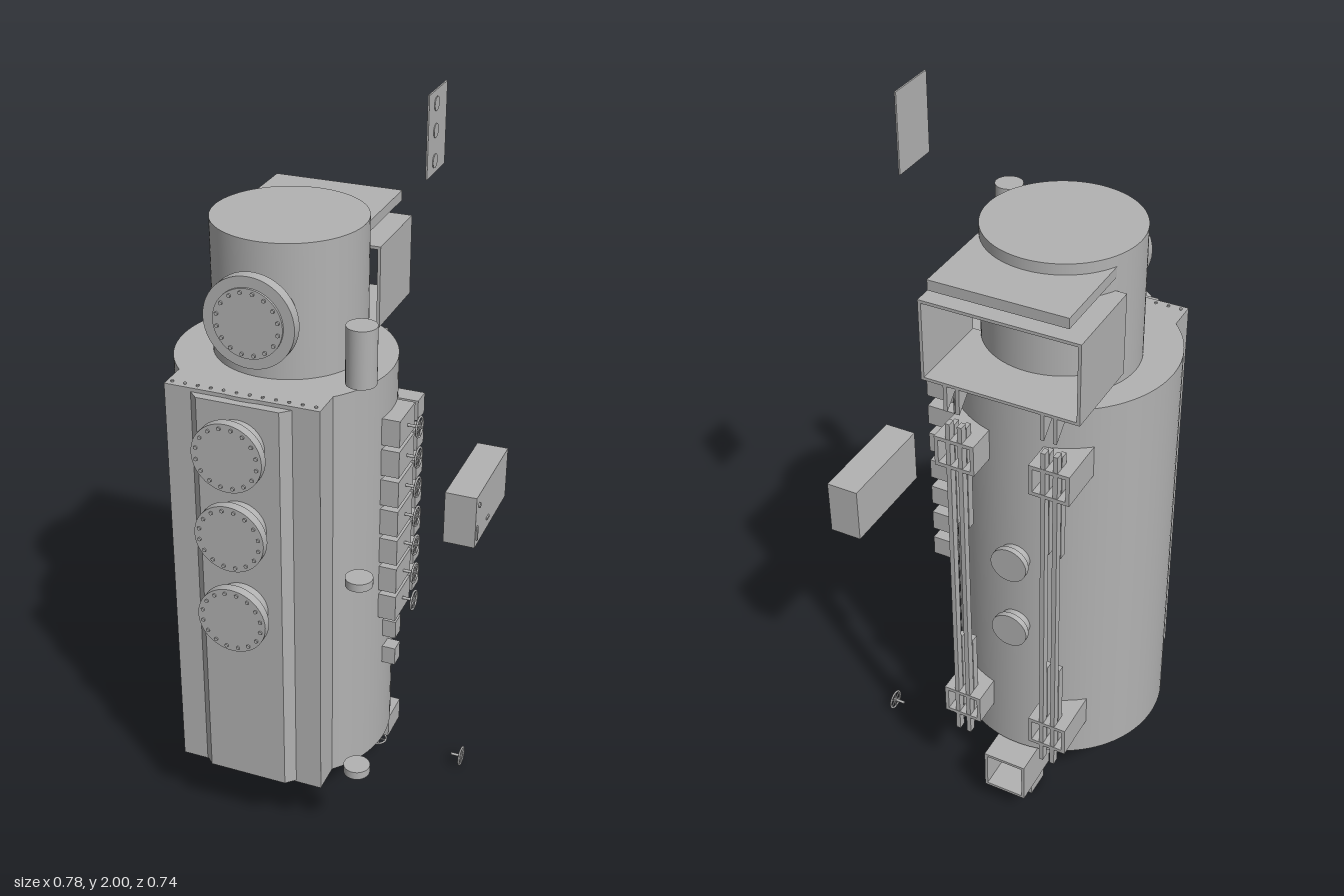
import * as THREE from 'three';

const grey = new THREE.MeshStandardMaterial({ color: 0xb2b2b2 });
grey.name = 'plainGrey';
const CX = -0.108; // centre line of the vessel

function add(parent, name, geometry, x = 0, y = 0, z = 0) {
  const m = new THREE.Mesh(geometry, grey);
  m.name = name;
  m.position.set(x, y, z);
  parent.add(m);
  return m;
}

function group(parent, name, x = 0, y = 0, z = 0) {
  const g = new THREE.Group();
  g.name = name;
  g.position.set(x, y, z);
  parent.add(g);
  return g;
}

// box given by its limits on each axis
function block(parent, name, x0, x1, y0, y1, z0, z1) {
  return add(parent, name, new THREE.BoxGeometry(x1 - x0, y1 - y0, z1 - z0),
    (x0 + x1) / 2, (y0 + y1) / 2, (z0 + z1) / 2);
}

// upright cylinder from y0 to y1
function drum(parent, name, r, y0, y1, x, z, sides = 64) {
  return add(parent, name, new THREE.CylinderGeometry(r, r, y1 - y0, sides), x, (y0 + y1) / 2, z);
}

// cylinder along z from z0 to z1
function discZ(parent, name, r, z0, z1, x, y, sides = 48) {
  const m = add(parent, name, new THREE.CylinderGeometry(r, r, z1 - z0, sides), x, y, (z0 + z1) / 2);
  m.rotation.x = Math.PI / 2;
  return m;
}

// cylinder along x from x0 to x1
function discX(parent, name, r, x0, x1, y, z, sides = 24) {
  const m = add(parent, name, new THREE.CylinderGeometry(r, r, x1 - x0, sides), (x0 + x1) / 2, y, z);
  m.rotation.z = Math.PI / 2;
  return m;
}

// ring of bolts on a face looking to +z
function boltRing(parent, x, y, z0, z1, radius, count) {
  for (let i = 0; i < count; i++) {
    const a = (i + 0.5) / count * Math.PI * 2;
    discZ(parent, 'bolt', 0.005, z0, z1, x + radius * Math.cos(a), y + radius * Math.sin(a), 6);
  }
}

// box of thin plates, open to the back
function openBox(parent, name, x0, x1, y0, y1, z0, z1, t) {
  const g = group(parent, name);
  block(g, 'sidePlate', x0, x0 + t, y0, y1, z0, z1);
  block(g, 'sidePlate', x1 - t, x1, y0, y1, z0, z1);
  block(g, 'topPlate', x0 + t, x1 - t, y1 - t, y1, z0, z1);
  block(g, 'bottomPlate', x0 + t, x1 - t, y0, y0 + t, z0, z1);
  return g;
}

// handwheel with its stem, pointing along +x
function handwheel(parent, stem, x, y, z) {
  const g = group(parent, 'handwheel', x, y, z);
  discX(g, 'stem', 0.004, 0, stem + 0.004, 0, 0, 8);
  const rim = add(g, 'rim', new THREE.TorusGeometry(0.026, 0.003, 6, 24), stem, 0, 0);
  rim.rotation.y = Math.PI / 2;
  discX(g, 'hub', 0.007, stem - 0.004, stem + 0.004, 0, 0, 12);
  for (let i = 0; i < 3; i++) {
    const spoke = add(g, 'spoke', new THREE.BoxGeometry(0.003, 0.052, 0.004), stem, 0, 0);
    spoke.rotation.x = i * Math.PI / 3;
  }
  return g;
}

// plan outline (x, z) raised from y0 to y1
function prism(parent, name, outline, y0, y1) {
  const shape = new THREE.Shape(outline.map(([x, z]) => new THREE.Vector2(x, -z)));
  const geo = new THREE.ExtrudeGeometry(shape, { depth: y1 - y0, bevelEnabled: false });
  geo.rotateX(-Math.PI / 2);
  return add(parent, name, geo, 0, y0, 0);
}

export function createModel() {
  const model = new THREE.Group();
  model.name = 'vessel';

  // main body with its flat front
  const body = group(model, 'body');
  drum(body, 'shell', 0.283, 0.195, 1.335, CX, -0.01, 96);
  block(body, 'frontCasing', -0.31, 0.095, 0.195, 1.335, 0, 0.27);
  prism(body, 'frontPanel', [[-0.241, 0.269], [0.025, 0.269], [0, 0.293], [-0.216, 0.293]], 0.2, 1.325);
  for (let i = 0; i < 12; i++) drum(body, 'edgeBolt', 0.004, 1.335, 1.339, -0.295 + i * 0.034, 0.255, 6);

  // three flanged ports on the front
  for (const y of [1.215, 0.99, 0.75]) {
    const port = group(model, 'frontPort');
    discZ(port, 'neck', 0.07, 0.29, 0.34, CX, y);
    discZ(port, 'flange', 0.092, 0.338, 0.362, CX, y);
    boltRing(port, CX, y, 0.36, 0.366, 0.08, 16);
  }

  // upper drum and its port
  drum(model, 'upperDrum', 0.196, 1.335, 1.685, CX, -0.04, 96);
  const upperPort = group(model, 'upperPort');
  discZ(upperPort, 'neck', 0.09, 0.08, 0.19, CX, 1.503);
  discZ(upperPort, 'flange', 0.118, 0.186, 0.216, CX, 1.503);
  discZ(upperPort, 'cover', 0.09, 0.214, 0.222, CX, 1.503);
  boltRing(upperPort, CX, 1.503, 0.22, 0.227, 0.08, 16);

  // hood behind the drum, open at the back
  openBox(model, 'rearHood', -0.31, 0.095, 1.38, 1.595, -0.365, -0.13, 0.008);
  block(model, 'hoodRoof', -0.283, 0.065, 1.63, 1.657, -0.37, -0.12);

  // back rails with brackets and gussets
  for (const side of [-1, 1]) {
    const x = CX + side * 0.125;
    const rail = group(model, 'rearRail');
    for (const s of [-1, 1]) {
      const bx = x + s * 0.016;
      block(rail, 'outerBar', bx - 0.006, bx + 0.006, 0.25, 1.27, -0.361, -0.34);
      block(rail, 'lowerInnerBar', bx - 0.006, bx + 0.006, 0.27, 0.57, -0.337, -0.315);
      block(rail, 'upperInnerBar', bx - 0.006, bx + 0.006, 0.95, 1.255, -0.337, -0.315);
      // triangular gusset under the hood
      const tri = new THREE.Shape([[0.29, 1.38], [0.365, 1.38], [0.365, 1.31]].map(p => new THREE.Vector2(...p)));
      const gusset = add(rail, 'gusset',
        new THREE.ExtrudeGeometry(tri, { depth: 0.01, bevelEnabled: false }), bx - 0.005, 0, 0);
      gusset.rotation.y = Math.PI / 2;
    }
    for (const y of [0.305, 1.14]) openBox(rail, 'bracket', x - 0.053, x + 0.053, y, y + 0.085, -0.362, -0.21, 0.01);
  }

  // round covers on the back
  for (const y of [0.645, 0.864]) {
    discZ(model, 'rearPortNeck', 0.04, -0.32, -0.27, CX, y);
    discZ(model, 'rearPortCover', 0.049, -0.33, -0.315, CX, y);
  }

  // bottom outlet
  drum(model, 'outletNeck', 0.117, 0.1, 0.2, CX, -0.035);
  drum(model, 'outletFlange', 0.128, 0.097, 0.108, CX, -0.035);

  // drain housing under the back
  const drain = openBox(model, 'drainHousing', CX - 0.06, CX + 0.06, 0.07, 0.19, -0.365, -0.21, 0.008);
  discX(drain, 'sidePort', 0.032, CX + 0.055, CX + 0.066, 0.148, -0.247);
  block(drain, 'frontPlate', CX - 0.055, CX + 0.055, 0.075, 0.185, -0.22, -0.212);
  block(drain, 'drainBox', CX - 0.043, CX + 0.043, 0, 0.07, -0.285, -0.212);

  // bottom valve, its wheel facing down
  block(model, 'bottomValve', 0.075, 0.158, 0.115, 0.18, -0.19, -0.095);
  handwheel(model, 0.035, 0.118, 0.115, -0.115).rotation.z = -Math.PI / 2;

  // row of valves and sensor boxes on the side
  for (let i = 0; i < 7; i++) {
    const y = 1.185 - i * 0.0867;
    const valve = group(model, 'sideValve');
    block(valve, 'valveBox', 0.155, 0.217, y - 0.037, y + 0.037, -0.067, 0.047);
    handwheel(valve, 0.033, 0.215, y, -0.012);
    block(valve, 'sensorBox', 0.125, 0.217, y - 0.028, y + 0.028, -0.143, -0.091);
  }
  for (const y of [0.577, 0.49]) block(model, 'smallSideBox', 0.165, 0.21, y - 0.026, y + 0.026, -0.02, 0.02);

  // detached control box
  const control = group(model, 'controlBox');
  block(control, 'case', 0.301, 0.387, 0.82, 0.97, -0.367, -0.08);
  discX(control, 'button', 0.007, 0.386, 0.391, 0.938, -0.105, 12);
  block(control, 'handle', 0.386, 0.391, 0.838, 0.88, -0.096, -0.09);
  block(control, 'slot', 0.386, 0.391, 0.85, 0.856, -0.2, -0.18);

  // detached gauge plate
  const plate = group(model, 'gaugePlate');
  block(plate, 'panel', 0.221, 0.225, 1.8, 2, -0.208, -0.076);
  for (const y of [1.967, 1.903, 1.83]) discX(plate, 'gauge', 0.017, 0.224, 0.227, y, -0.13);

  // detached canister and pads below it
  drum(model, 'canister', 0.037, 1.425, 1.57, 0.194, 0.264, 32);
  drum(model, 'upperPad', 0.035, 0.872, 0.894, 0.194, 0.262, 32);
  drum(model, 'lowerPad', 0.035, 0.28, 0.303, 0.194, 0.262, 32);

  // spare handwheel
  handwheel(model, 0.03, 0.325, 0.037, -0.178);

  return model;
}
